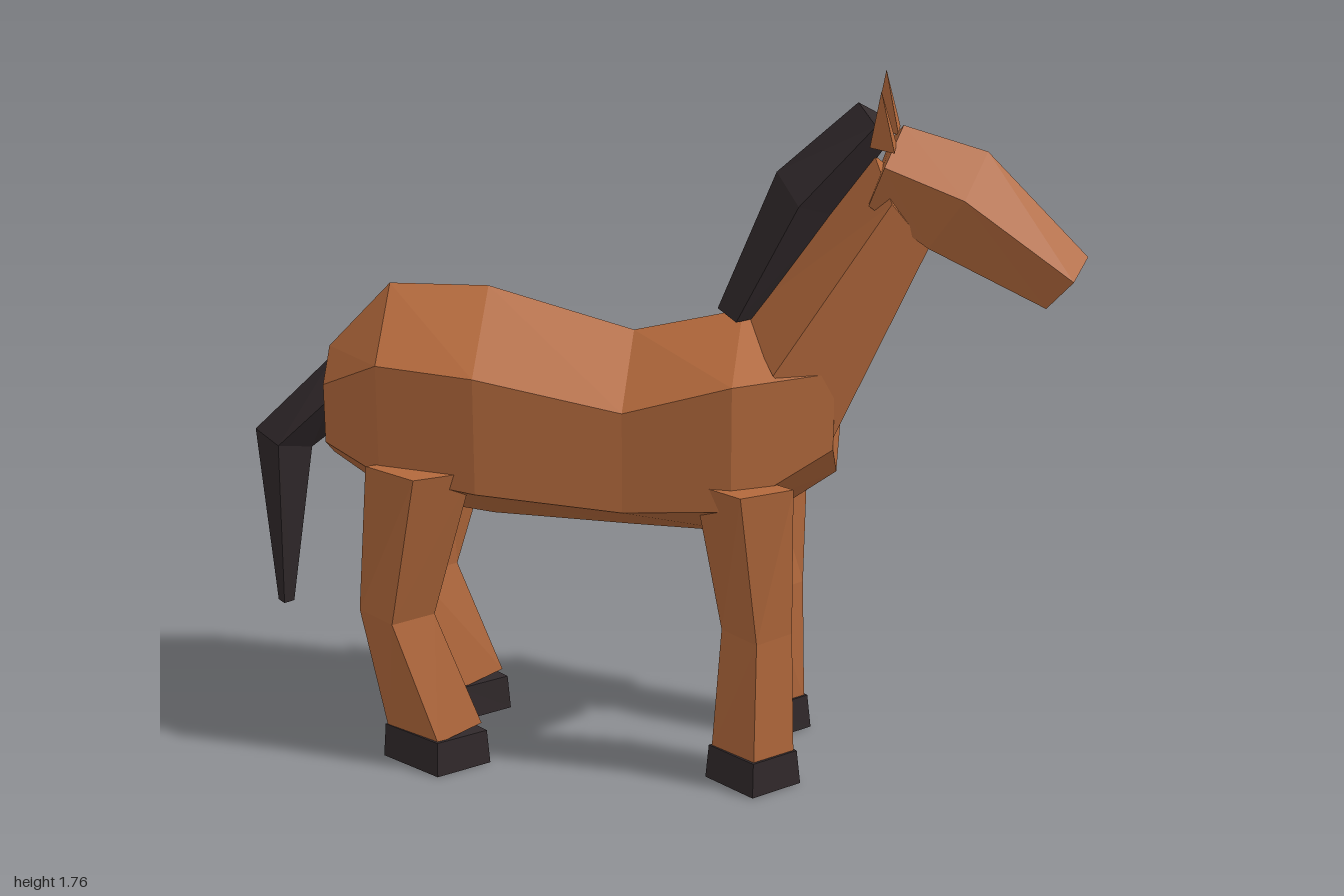
import * as THREE from 'three';

const coat = new THREE.MeshStandardMaterial({ name: 'chestnut coat', color: 0xb3693c, flatShading: true });
const dark = new THREE.MeshStandardMaterial({ name: 'dark hair and hoof', color: 0x31292b, flatShading: true });

// Joins rings of [x, y, z] points into a closed, faceted solid facing outwards.
function loft(name, rings, material) {
  const tris = [];
  const n = rings[0].length;
  for (let r = 0; r < rings.length - 1; r++) {
    for (let i = 0; i < n; i++) {
      const j = (i + 1) % n;
      const [a, b, c, d] = [rings[r][i], rings[r][j], rings[r + 1][j], rings[r + 1][i]];
      tris.push([a, b, c], [a, c, d]);
    }
  }
  const cap = (ring, flip) => {
    const mid = [0, 1, 2].map(k => ring.reduce((s, p) => s + p[k], 0) / n);
    ring.forEach((p, i) => {
      const q = ring[(i + 1) % n];
      tris.push(flip ? [mid, q, p] : [mid, p, q]);
    });
  };
  cap(rings[0], true);
  cap(rings[rings.length - 1], false);
  // A negative volume means the winding is inside out
  let volume = 0;
  for (const t of tris) {
    const [a, b, c] = t.map(p => new THREE.Vector3(...p));
    volume += a.dot(b.cross(c));
  }
  if (volume < 0) tris.forEach(t => t.reverse());
  const geometry = new THREE.BufferGeometry();
  geometry.setAttribute('position', new THREE.Float32BufferAttribute(tris.flat(2), 3));
  geometry.computeVertexNormals();
  const mesh = new THREE.Mesh(geometry, material);
  mesh.name = name;
  return mesh;
}

// Mirrored ring shapes
const hexRing = (x, top, upper, lower, bottom, w) => [
  [x, top, 0], [x, upper, w], [x, lower, w], [x, bottom, 0], [x, lower, -w], [x, upper, -w]];
const diamondRing = ([bx, by], [sx, sy, w], [fx, fy]) => [
  [bx, by, 0], [sx, sy, w], [fx, fy, 0], [sx, sy, -w]];
const pentRing = ([rx, ry], [sx, sy, sw], [bx, by, bw]) => [
  [rx, ry, 0], [sx, sy, sw], [bx, by, bw], [bx, by, -bw], [sx, sy, -sw]];

// Four-sided limb ring with corners to the front, back and both sides
const limbRing = (side, [xf, yf], [xm, ym], [xb, yb], z, w) => [
  [xf, yf, z * side], [xm, ym, (z + w) * side], [xb, yb, z * side], [xm, ym, (z - w) * side]];
const flatLimbRing = (side, y, xf, xm, xb, z, w) =>
  limbRing(side, [xf, y], [xm, y], [xb, y], z, w);

export function createModel() {
  const model = new THREE.Group();
  model.name = 'horse';

  // Barrel, rump and chest
  model.add(loft('body', [
    hexRing(-0.805, 1.04, 0.97, 0.82, 0.76, 0.08),
    hexRing(-0.65, 1.21, 1.07, 0.79, 0.65, 0.19),
    hexRing(-0.41, 1.215, 1.065, 0.77, 0.62, 0.23),
    hexRing(-0.06, 1.12, 0.99, 0.735, 0.61, 0.21),
    hexRing(0.2, 1.185, 1.075, 0.76, 0.605, 0.225),
    hexRing(0.43, 1.1, 1.085, 0.89, 0.78, 0.125),
  ], coat));

  model.add(loft('neck', [
    pentRing([0.2, 1.17], [0.29, 1.09, 0.175], [0.43, 0.92, 0.12]),
    pentRing([0.5, 1.58], [0.55, 1.5, 0.108], [0.635, 1.385, 0.075]),
  ], coat));

  model.add(loft('head', [
    pentRing([0.565, 1.655], [0.53, 1.585, 0.105], [0.495, 1.485, 0.085]),
    pentRing([0.76, 1.6], [0.715, 1.52, 0.125], [0.635, 1.39, 0.09]),
    pentRing([1.0, 1.355], [0.97, 1.32, 0.08], [0.91, 1.243, 0.055]),
  ], coat));

  model.add(loft('mane', [
    diamondRing([0.14, 1.185], [0.19, 1.172, 0.055], [0.25, 1.17]),
    diamondRing([0.275, 1.53], [0.335, 1.475, 0.085], [0.41, 1.43]),
    diamondRing([0.46, 1.705], [0.505, 1.665, 0.05], [0.53, 1.61]),
  ], dark));

  model.add(loft('tail', [
    diamondRing([-0.79, 1.025], [-0.79, 0.93, 0.06], [-0.79, 0.83]),
    diamondRing([-1.0, 0.81], [-0.925, 0.8, 0.075], [-0.86, 0.77]),
    diamondRing([-0.965, 0.345], [-0.945, 0.345, 0.02], [-0.925, 0.345]),
  ], dark));

  for (const side of [1, -1]) {
    const label = side > 0 ? 'right' : 'left';

    // Ear: a three-sided spike leaning outwards
    const tip = [0.517, 1.76, 0.085 * side];
    const earBase = [[0.493, 0.07], [0.552, 0.105], [0.552, 0.035]]
      .map(([x, z]) => [x, 1.62, z * side]);
    model.add(loft(label + 'Ear', [earBase, earBase.map(() => tip)], coat));

    // Front leg and hoof
    model.add(loft(label + 'FrontLeg', [
      flatLimbRing(side, 0.815, 0.345, 0.227, 0.11, 0.2, 0.068),
      flatLimbRing(side, 0.41, 0.343, 0.265, 0.172, 0.145, 0.075),
      flatLimbRing(side, 0.08, 0.352, 0.262, 0.15, 0.145, 0.075),
    ], coat));
    model.add(loft(label + 'FrontHoof', [
      flatLimbRing(side, 0.09, 0.36, 0.262, 0.143, 0.145, 0.083),
      flatLimbRing(side, 0, 0.37, 0.262, 0.135, 0.145, 0.092),
    ], dark));

    // Hind leg and hoof
    model.add(loft(label + 'HindLeg', [
      flatLimbRing(side, 0.815, -0.42, -0.55, -0.68, 0.2, 0.068),
      flatLimbRing(side, 0.405, -0.535, -0.625, -0.722, 0.145, 0.075),
      limbRing(side, [-0.425, 0.11], [-0.52, 0.085], [-0.66, 0.075], 0.145, 0.075),
    ], coat));
    model.add(loft(label + 'HindHoof', [
      flatLimbRing(side, 0.09, -0.412, -0.52, -0.668, 0.145, 0.083),
      flatLimbRing(side, 0, -0.405, -0.52, -0.675, 0.145, 0.092),
    ], dark));
  }

  return model;
}
